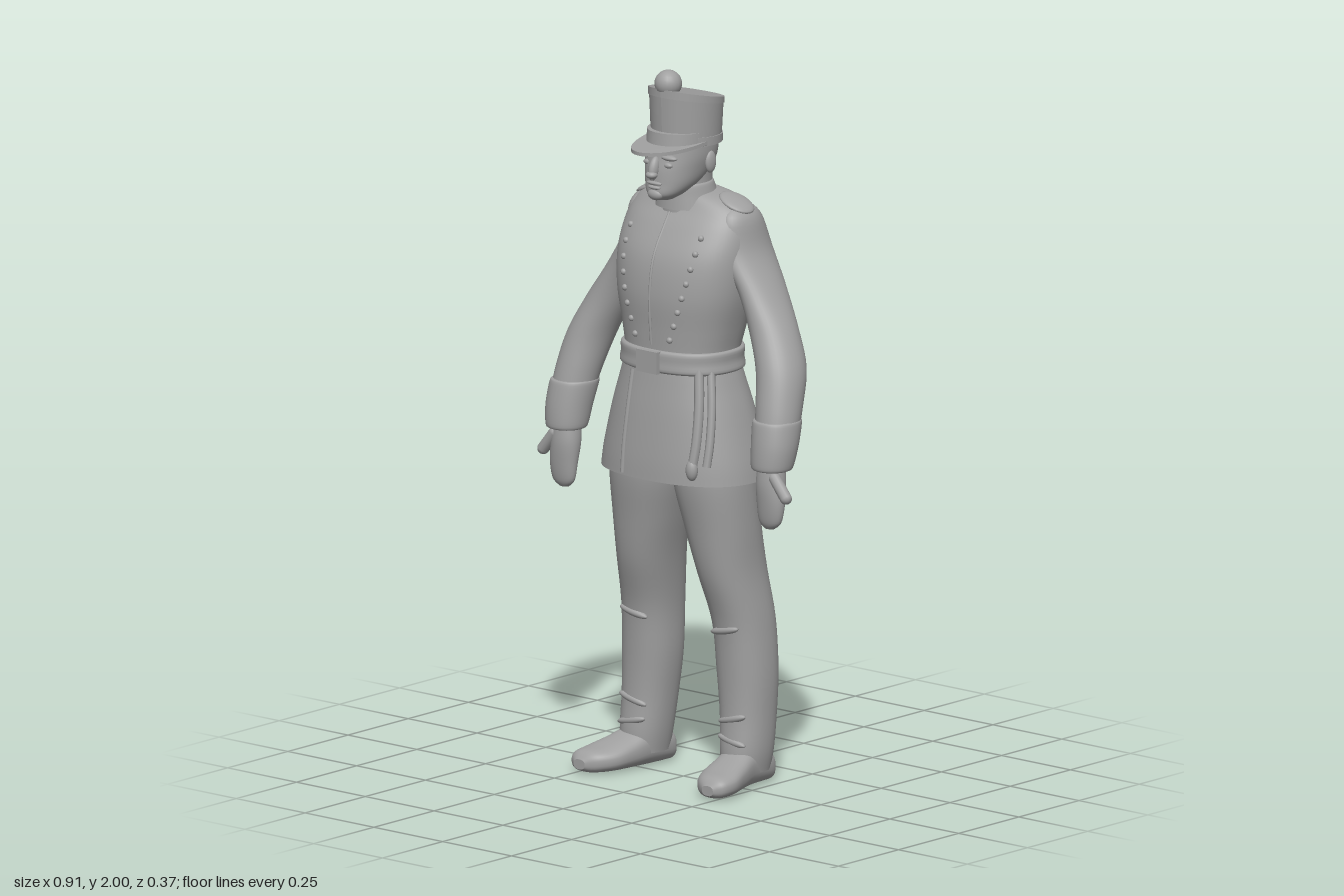
import * as THREE from 'three';

const cloth = new THREE.MeshStandardMaterial({ color: 0xa0a0a0 });
cloth.name = 'plain grey';

// Sections are [height, centre x, front z, back z, half width]; smooth interpolation between them
function sample(secs, t) {
  const n = secs.length - 1, i = Math.min(Math.floor(t), n - 1), f = t - i;
  const at = k => secs[THREE.MathUtils.clamp(k, 0, n)];
  return secs[0].map((_, c) => {
    const a = at(i - 1)[c], b = at(i)[c], d = at(i + 1)[c], e = at(i + 2)[c];
    return b + 0.5 * f * (d - a + f * (2 * a - 5 * b + 4 * d - e + f * (3 * (b - d) + e - a)));
  });
}

// Closed body lofted through the sections, with rounded-rectangle rings of the given power
function loft(secs, power = 2.2, steps = 5, sides = 36) {
  const rows = (secs.length - 1) * steps, pos = [], idx = [];
  const flip = secs[secs.length - 1][0] < secs[0][0];
  const tri = (a, b, c) => (flip ? idx.push(a, c, b) : idx.push(a, b, c));
  const ring = s => {
    for (let j = 0; j < sides; j++) {
      const a = j / sides * Math.PI * 2, c = Math.cos(a), d = Math.sin(a);
      pos.push(s[1] + Math.sign(c) * Math.abs(c) ** (2 / power) * s[4], s[0],
        (s[2] + s[3]) / 2 + Math.sign(d) * Math.abs(d) ** (2 / power) * (s[2] - s[3]) / 2);
    }
  };
  for (let i = 0; i <= rows; i++) ring(sample(secs, i / steps));
  for (let i = 0; i < rows; i++) for (let j = 0; j < sides; j++) {
    const k = (j + 1) % sides, a = i * sides + j, b = i * sides + k;
    tri(a, a + sides, b);
    tri(b, a + sides, b + sides);
  }
  // End caps use their own vertices so the rims stay crisp
  [secs[0], secs[secs.length - 1]].forEach((s, e) => {
    const o = pos.length / 3;
    ring(s);
    pos.push(s[1], s[0], (s[2] + s[3]) / 2);
    for (let j = 0; j < sides; j++) {
      const k = (j + 1) % sides;
      e ? tri(o + k, o + j, o + sides) : tri(o + j, o + k, o + sides);
    }
  });
  const g = new THREE.BufferGeometry();
  g.setAttribute('position', new THREE.Float32BufferAttribute(pos, 3));
  g.setIndex(idx);
  g.computeVertexNormals();
  return g;
}

const coat = [
  [0.865, 0, 0.165, -0.18, 0.252], [0.93, 0, 0.162, -0.175, 0.241], [1.05, 0, 0.15, -0.155, 0.21],
  [1.14, 0, 0.138, -0.135, 0.181], [1.2, 0, 0.132, -0.126, 0.166], [1.28, 0, 0.135, -0.142, 0.18],
  [1.38, 0, 0.14, -0.165, 0.203], [1.48, 0, 0.125, -0.175, 0.212], [1.56, 0, 0.085, -0.165, 0.207],
  [1.61, 0, 0.05, -0.145, 0.186], [1.638, 0, 0.035, -0.125, 0.14], [1.655, 0, 0.03, -0.1, 0.07],
];
const POWER = 2.3;
function coatAt(y) {
  let lo = 0, hi = coat.length - 1;
  for (let i = 0; i < 24; i++) {
    const m = (lo + hi) / 2;
    sample(coat, m)[0] < y ? (lo = m) : (hi = m);
  }
  return sample(coat, lo);
}
// z of the coat surface, front or back
function coatZ(x, y, front = true) {
  const s = coatAt(y), q = (1 - Math.min(1, Math.abs(x / s[4])) ** POWER) ** (1 / POWER);
  return (s[2] + s[3]) / 2 + (front ? 1 : -1) * q * (s[2] - s[3]) / 2;
}

export function createModel() {
  const model = new THREE.Group();
  const add = (name, geo, x = 0, y = 0, z = 0) => {
    const m = new THREE.Mesh(geo, cloth);
    m.name = name;
    m.position.set(x, y, z);
    model.add(m);
    return m;
  };
  const ball = (name, x, y, z, rx, ry, rz) =>
    add(name, new THREE.SphereGeometry(1, 20, 14).scale(rx, ry, rz), x, y, z);
  // Raised seam following the coat through [x, y] points
  const seam = (name, pts, r, front = true, lift = 0) => {
    const curve = new THREE.CatmullRomCurve3(pts.map(([x, y]) =>
      new THREE.Vector3(x, y, coatZ(x, y, front) + (front ? lift : -lift))));
    add(name, new THREE.TubeGeometry(curve, 16, r, 8));
  };

  // Coat, belt and collar
  add('coat', loft(coat, POWER, 5, 56));
  add('belt', loft([1.165, 1.172, 1.195, 1.22, 1.227].map((y, i) => {
    const s = coatAt(y), e = i % 4 ? 0.011 : 0.003;
    return [y, 0, s[2] + e, s[3] - e, s[4] + e];
  }), POWER, 3, 56));
  add('beltBuckle', new THREE.BoxGeometry(0.075, 0.062, 0.022), 0, 1.195, 0.143);
  add('collar', loft([[1.61, 0, 0.07, -0.11, 0.092], [1.645, 0, 0.068, -0.1, 0.082],
    [1.675, 0, 0.066, -0.09, 0.074], [1.68, 0, 0.06, -0.085, 0.068]], 2));

  // Tunic front: two curved rows of buttons, and skirt openings
  for (const s of [-1, 1]) for (let i = 0; i < 8; i++) {
    const y = 1.26 + i * 0.041, x = s * (0.062 + 0.065 * Math.sin(i / 7 * Math.PI / 2));
    ball('button', x, y, coatZ(x, y), 0.009, 0.009, 0.008);
  }
  seam('frontSeam', [[0, 1.24], [0, 1.36], [0, 1.48], [0, 1.6]], 0.004);
  seam('skirtOpening', [[-0.07, 1.16], [-0.075, 1.05], [-0.08, 0.95], [-0.082, 0.872]], 0.007);
  seam('sashTail', [[0.135, 1.18], [0.15, 1.08], [0.155, 0.98], [0.15, 0.91]], 0.014);
  seam('sashTail', [[0.155, 1.18], [0.175, 1.08], [0.185, 0.98], [0.185, 0.92]], 0.012);
  ball('sashTassel', 0.15, 0.91, coatZ(0.15, 0.91), 0.018, 0.03, 0.016);

  // Back of the coat: centre vent and pocket flaps
  seam('backVent', [[0, 1.15], [0, 1.05], [0, 0.95], [0, 0.872]], 0.006, false);
  for (const s of [-1, 1])
    seam('backPocket', [[s * 0.05, 1.08], [s * 0.09, 1.075], [s * 0.14, 1.085]], 0.009, false);

  // Limbs, mirrored about the centre
  for (const s of [-1, 1]) {
    const side = secs => secs.map(([y, x, f, b, r]) => [y, s * x, f, b, r]);
    add('sleeve', loft(side([
      [1.625, 0.155, -0.015, -0.095, 0.025], [1.59, 0.163, 0.02, -0.125, 0.044],
      [1.5, 0.178, 0.03, -0.15, 0.052], [1.4, 0.238, 0.025, -0.135, 0.055],
      [1.3, 0.295, 0.035, -0.11, 0.065], [1.2, 0.342, 0.06, -0.09, 0.066],
      [1.1, 0.363, 0.085, -0.05, 0.063], [1.02, 0.372, 0.1, -0.02, 0.059]]), 2));
    add('cuff', loft(side([
      [1.07, 0.367, 0.096, -0.038, 0.06], [1.06, 0.368, 0.102, -0.038, 0.065],
      [1, 0.373, 0.112, -0.018, 0.064], [0.945, 0.373, 0.115, 0, 0.058],
      [0.935, 0.373, 0.108, 0.008, 0.05]]), 2.1));
    add('hand', loft(side([
      [0.96, 0.372, 0.09, 0.022, 0.038], [0.9, 0.372, 0.098, 0.025, 0.044],
      [0.84, 0.376, 0.095, 0.038, 0.044], [0.79, 0.375, 0.088, 0.048, 0.036],
      [0.77, 0.373, 0.078, 0.058, 0.015]]), 2.1));
    const thumb = add('thumb', new THREE.CapsuleGeometry(0.017, 0.065, 6, 12), s * 0.42, 0.892, 0.078);
    thumb.rotation.z = s * 0.68;
    const strap = add('shoulderStrap', new THREE.SphereGeometry(1, 20, 12).scale(0.055, 0.013, 0.045),
      s * 0.15, 1.63, -0.05);
    strap.rotation.z = -s * 0.4;

    add('trouserLeg', loft(side([
      [0.98, 0.112, 0.11, -0.12, 0.108], [0.86, 0.115, 0.113, -0.115, 0.113],
      [0.73, 0.13, 0.093, -0.122, 0.099], [0.6, 0.146, 0.07, -0.14, 0.083],
      [0.46, 0.164, 0.03, -0.155, 0.079], [0.32, 0.172, 0.016, -0.155, 0.08],
      [0.2, 0.178, 0.014, -0.146, 0.073], [0.1, 0.182, 0.022, -0.134, 0.067],
      [0.04, 0.182, 0.02, -0.125, 0.058]])));
    // Soft folds above the shoe and at the knee
    for (const [y, x, z, tilt] of [[0.19, 0.18, 0.004, 0.25], [0.13, 0.182, 0.008, -0.2], [0.44, 0.165, 0.018, 0.2]]) {
      const fold = ball('trouserFold', s * x, y, z, 0.05, 0.012, 0.014);
      fold.rotation.z = s * tilt;
    }
    // Shoe lofted from heel to toe
    add('shoe', loft(side([
      [-0.132, 0.18, 0, -0.07, 0.035], [-0.115, 0.18, 0, -0.09, 0.05], [-0.03, 0.186, 0, -0.11, 0.057],
      [0.04, 0.2, 0, -0.088, 0.064], [0.1, 0.215, 0, -0.07, 0.067], [0.145, 0.228, -0.002, -0.06, 0.05],
      [0.167, 0.233, -0.012, -0.04, 0.02]]), 2.5).rotateX(Math.PI / 2));
  }

  // Neck, head and face
  add('neck', loft([[1.6, 0, 0.06, -0.1, 0.075], [1.68, 0, 0.06, -0.088, 0.067], [1.76, 0, 0.06, -0.09, 0.07]], 2));
  add('head', loft([
    [1.643, 0, 0.11, 0.05, 0.025], [1.66, 0, 0.125, 0.015, 0.05], [1.69, 0, 0.123, -0.04, 0.071],
    [1.73, 0, 0.12, -0.085, 0.083], [1.77, 0, 0.112, -0.1, 0.09], [1.83, 0, 0.105, -0.1, 0.09]], 2.15));
  const nose = ball('nose', 0, 1.733, 0.122, 0.014, 0.034, 0.018);
  nose.rotation.x = -0.3;
  ball('noseTip', 0, 1.717, 0.132, 0.017, 0.011, 0.016);
  ball('upperLip', 0, 1.692, 0.121, 0.027, 0.006, 0.009);
  ball('lowerLip', 0, 1.68, 0.121, 0.022, 0.006, 0.009);
  ball('chin', 0, 1.66, 0.115, 0.026, 0.017, 0.016);
  for (const s of [-1, 1]) {
    ball('eye', s * 0.036, 1.744, 0.105, 0.015, 0.008, 0.009);
    ball('brow', s * 0.038, 1.765, 0.103, 0.028, 0.008, 0.013);
    ball('ear', s * 0.088, 1.742, -0.012, 0.011, 0.031, 0.02);
  }

  // Tall cap whose crown slopes down towards the back
  const shell = (r0, r1, y0, y1) => {
    const g = new THREE.CylinderGeometry(r1, r0, y1 - y0, 40, 3).scale(1, 1, 1.06).translate(0, (y0 + y1) / 2, -0.012);
    const p = g.attributes.position;
    for (let i = 0; i < p.count; i++) {
      const k = THREE.MathUtils.clamp((p.getY(i) - 1.79) / 0.14, 0, 1);
      p.setY(i, p.getY(i) + k * 0.22 * p.getZ(i));
    }
    g.computeVertexNormals();
    return g;
  };
  add('capCrown', shell(0.094, 0.1, 1.79, 1.928));
  add('capBand', shell(0.098, 0.098, 1.79, 1.815));
  add('capTopRim', shell(0.102, 0.102, 1.91, 1.93));
  ball('pompom', 0, 1.962, 0.063, 0.038, 0.038, 0.038);

  // Drooping visor
  const outline = new THREE.Shape();
  outline.absellipse(0, 0, 0.097, 0.175, 0, Math.PI, false);
  const visor = new THREE.ExtrudeGeometry(outline, { depth: 0.01, bevelEnabled: false, curveSegments: 32 });
  visor.rotateX(Math.PI / 2).translate(0, 1.812, 0.01);
  const v = visor.attributes.position;
  for (let i = 0; i < v.count; i++)
    v.setY(i, v.getY(i) - 0.13 * Math.max(0, v.getZ(i) - 0.02) - 0.8 * v.getX(i) ** 2);
  visor.computeVertexNormals();
  add('visor', visor);

  return model;
}
